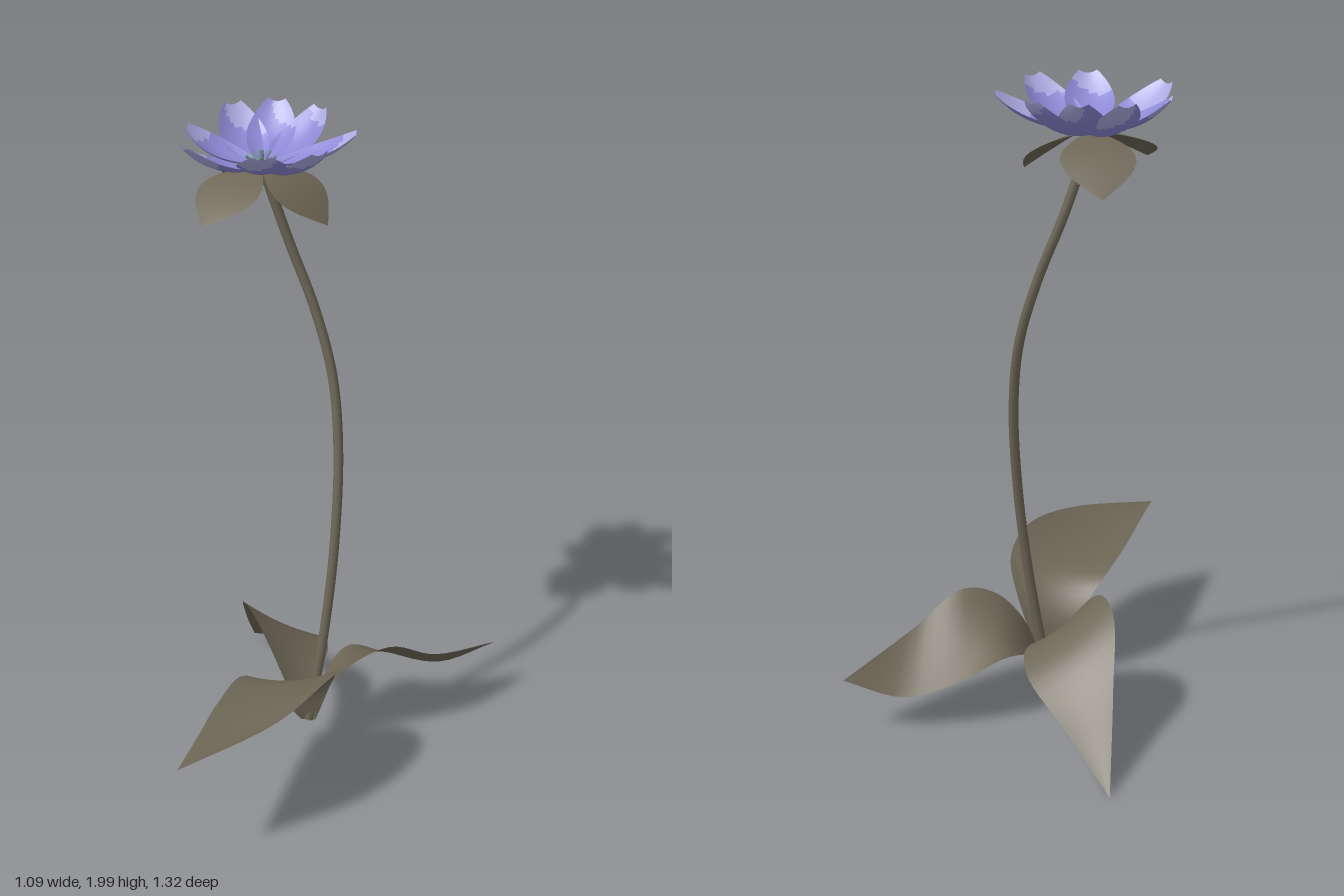
import * as THREE from 'three';

const mat = (name, color) => {
  const m = new THREE.MeshStandardMaterial({ color, side: THREE.DoubleSide });
  m.name = name;
  return m;
};

// Smooth sheet from a rule point(u, t): u = -1..1 across, t = 0..1 along; band(u, t) picks the material
function sheet(point, nu, nt, band = () => 0) {
  const pos = [], idx = [], geo = new THREE.BufferGeometry();
  for (let j = 0; j <= nt; j++)
    for (let i = 0; i <= nu; i++) pos.push(...point((i / nu) * 2 - 1, j / nt).toArray());
  for (let j = 0; j < nt; j++)
    for (let i = 0; i < nu; i++) {
      const a = j * (nu + 1) + i, b = a + 1, c = a + nu + 1, d = c + 1;
      geo.addGroup(idx.length, 6, band(((i + 0.5) / nu) * 2 - 1, (j + 0.5) / nt));
      idx.push(a, b, d, a, d, c);
    }
  geo.setAttribute('position', new THREE.Float32BufferAttribute(pos, 3));
  geo.setIndex(idx);
  geo.computeVertexNormals();
  return geo;
}

const curve = (pts) => new THREE.CatmullRomCurve3(pts.map((p) => new THREE.Vector3(...p)));

// Leaf stretched between its two edges, hollowed along the middle
function leafGeometry(left, right, sag) {
  const a = curve(left), b = curve(right);
  return sheet((u, t) => {
    const p = a.getPoint(t).lerp(b.getPoint(t), (u + 1) / 2);
    p.y -= sag * (1 - u * u) * Math.sin(Math.PI * Math.pow(t, 0.7));
    return p;
  }, 8, 24);
}

// Petal or sepal running from the flower centre to a tip
function bladeGeometry(centre, tip, width, rise, cup, band) {
  const dir = tip.clone().sub(centre);
  const side = new THREE.Vector3(-dir.z, 0, dir.x).normalize();
  return sheet((u, t) => {
    const w = width(t);
    const p = centre.clone().addScaledVector(dir, t).addScaledVector(side, u * w);
    p.y = centre.y + dir.y * rise(t) + cup * u * u * w;
    return p;
  }, 10, 20, band);
}

export function createModel() {
  const model = new THREE.Group();
  const green = mat('leaf green brown', 0x6e6757);
  const violet = mat('petal violet', 0x8c88d4);
  const pale = mat('petal pale tip', 0xacabe2);
  const teal = mat('flower heart', 0x7b92a2);
  const add = (name, geo, material, parent = model) => {
    const m = new THREE.Mesh(geo, material);
    m.name = name;
    parent.add(m);
    return m;
  };

  // Stem
  const stem = curve([
    [-0.1, 0.11, 0.06], [-0.05, 0.4, 0.042], [-0.012, 0.7, 0.01], [0.008, 1.0, -0.05],
    [-0.003, 1.22, -0.105], [-0.05, 1.42, -0.15], [-0.12, 1.62, -0.183], [-0.172, 1.78, -0.19], [-0.2, 1.87, -0.185],
  ]);
  add('stem', new THREE.TubeGeometry(stem, 48, 0.015, 8), green);

  // Ground leaves
  const leaves = new THREE.Group();
  leaves.name = 'leaves';
  model.add(leaves);
  add('frontLeaf', leafGeometry(
    [[-0.125, 0.11, 0.06], [-0.22, 0.24, 0.08], [-0.31, 0.335, 0.14], [-0.4, 0.355, 0.31], [-0.475, 0.357, 0.49], [-0.545, 0.357, 0.655]],
    [[-0.08, 0.11, 0.07], [-0.02, 0.3, 0.11], [-0.012, 0.38, 0.21], [-0.08, 0.425, 0.35], [-0.25, 0.405, 0.525], [-0.545, 0.357, 0.655]],
    0.03), green, leaves);
  add('rightLeaf', leafGeometry(
    [[-0.09, 0.11, 0.08], [-0.03, 0.24, 0.07], [0.05, 0.32, 0.078], [0.16, 0.35, 0.055], [0.31, 0.265, -0.02], [0.545, 0.185, -0.2]],
    [[-0.09, 0.11, 0.03], [-0.02, 0.19, -0.1], [0.06, 0.22, -0.185], [0.18, 0.17, -0.21], [0.36, 0.12, -0.205], [0.545, 0.185, -0.2]],
    0.01), green, leaves);
  add('backLeaf', leafGeometry(
    [[-0.08, 0.11, 0.04], [-0.05, 0.2, -0.05], [-0.01, 0.22, -0.17], [-0.015, 0.195, -0.29], [-0.1, 0.115, -0.45], [-0.205, 0, -0.66]],
    [[-0.125, 0.11, 0.06], [-0.21, 0.32, -0.04], [-0.255, 0.395, -0.13], [-0.275, 0.375, -0.24], [-0.25, 0.215, -0.41], [-0.205, 0, -0.66]],
    0.02), green, leaves);

  const flower = new THREE.Group();
  flower.name = 'flower';
  model.add(flower);
  const centre = new THREE.Vector3(-0.2, 1.86, -0.18);

  // Drooping pointed sepals
  for (const [x, y, z] of [[-0.388, 1.745, -0.01], [-0.025, 1.725, -0.03], [-0.2, 1.72, -0.388]])
    add('sepal', bladeGeometry(centre, new THREE.Vector3(x, y, z),
      (t) => 0.1 * Math.sin(Math.PI * Math.pow(t, 1.25)) + 0.015 * (1 - t),
      (t) => Math.pow(t, 1.9), -0.03), green, flower);

  // Cupped petals: flat near the heart, turned up at blunt pale tips
  const petalWidth = (t) => 0.012 + 0.06 * Math.sin(Math.PI * 0.87 * Math.pow(t, 1.1)) - 0.01 * Math.pow(t, 12);
  // Tip x, y, z, then where the pale patch begins and how far it leans to one side
  const petals = [
    [-0.432, 1.965, -0.05, 0.62, 0.1], [-0.225, 1.97, 0.09, 0.82, 0.1],
    [-0.06, 1.97, 0.07, 0.84, 0.08], [0.068, 1.96, -0.12, 0.72, 0.15],
    [-0.01, 1.98, -0.325, 0.9, 0.08], [-0.13, 1.985, -0.4, 0.88, 0.2],
    [-0.262, 1.98, -0.4, 0.8, 0.2], [-0.41, 1.96, -0.25, 0.84, 0.1],
  ];
  petals.forEach(([x, y, z, cut, lean], i) => {
    const start = centre.clone().setY(1.854 + 0.008 * (i % 2));
    add('petal', bladeGeometry(start, new THREE.Vector3(x, y, z), petalWidth,
      (t) => 0.18 * t + 0.82 * Math.pow(t, 3.2), 0.36,
      (u, t) => (t < 0.2 + 0.05 * u ? 2 : t > cut - lean * u ? 1 : 0)), [violet, pale, teal], flower);
  });

  // Stamens and pistil
  for (let i = 0; i < 5; i++) {
    const a = (i / 5) * Math.PI * 2 + 0.4;
    const out = new THREE.Vector3(Math.cos(a) * 0.045, 0.035, Math.sin(a) * 0.045).add(centre);
    add('stamen', new THREE.TubeGeometry(new THREE.LineCurve3(centre, out), 1, 0.004, 5), teal, flower);
  }
  const pistil = add('pistil', new THREE.CylinderGeometry(0.007, 0.01, 0.05, 7), teal, flower);
  pistil.position.copy(centre).y += 0.025;
  return model;
}
